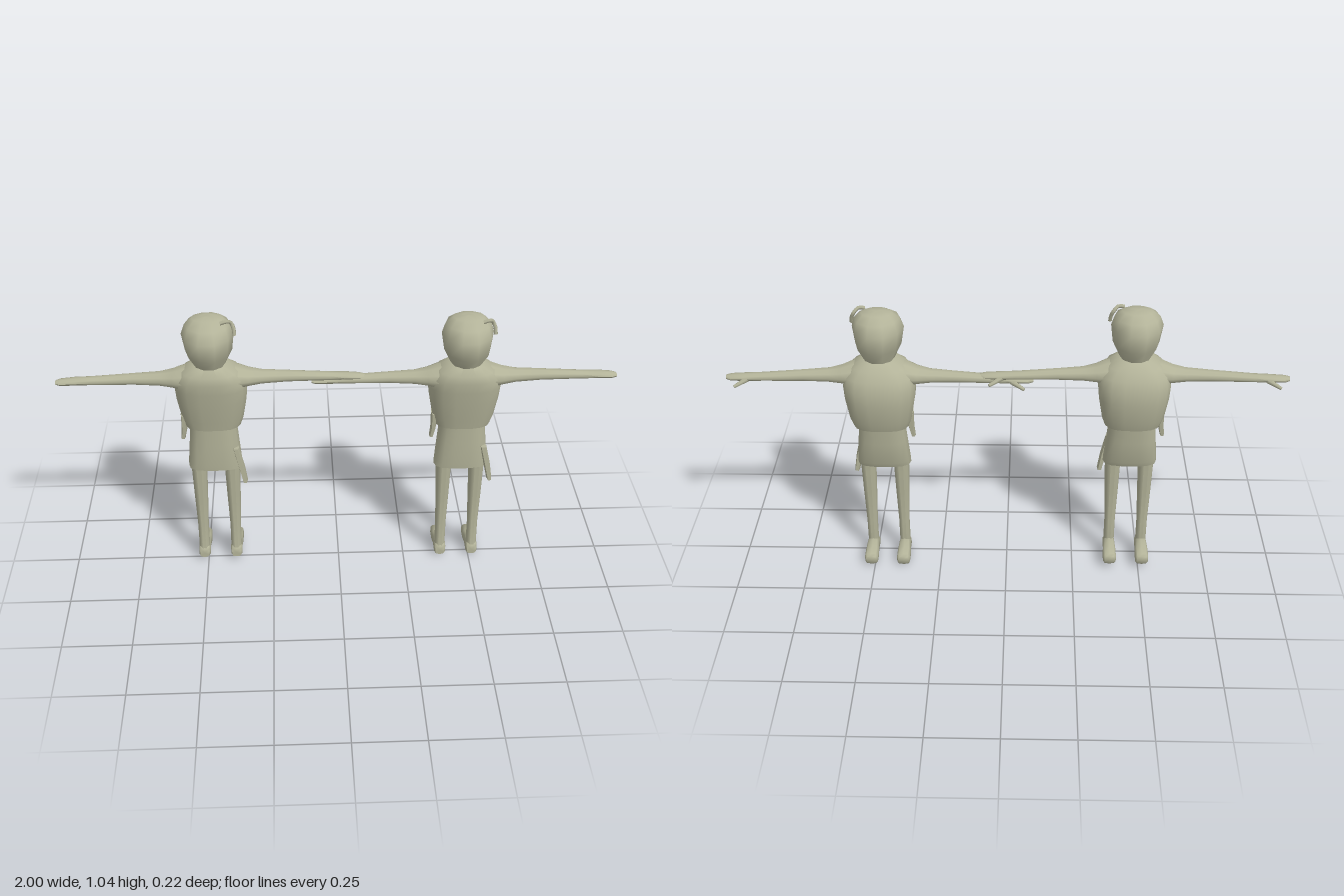
import * as THREE from 'three';
import { toCreasedNormals } from 'three/addons/utils/BufferGeometryUtils.js';

const clay = new THREE.MeshStandardMaterial({ color: 0xb3b399 });
clay.name = 'clay';

// Closed loft along an axis. Ring: [t, uMin, uMax, vMin, vMax].
// Axis x: u = y, v = z. Axis y: u = z, v = x. Axis z: u = x, v = y.
function loft(axis, rings, sides = 10, round = 1, crease = 1) {
  const k = 'xyz'.indexOf(axis);
  const pos = [];
  const index = [];
  const put = (t, u, v) => {
    const p = [0, 0, 0];
    p[k] = t;
    p[(k + 1) % 3] = u;
    p[(k + 2) % 3] = v;
    pos.push(...p);
  };
  const bend = (c) => Math.sign(c) * Math.abs(c) ** round;
  for (const [t, u0, u1, v0, v1] of rings) {
    for (let j = 0; j < sides; j++) {
      const a = ((j + 0.5) / sides) * Math.PI * 2;
      put(t, (u0 + u1) / 2 + ((u1 - u0) / 2) * bend(Math.cos(a)),
        (v0 + v1) / 2 + ((v1 - v0) / 2) * bend(Math.sin(a)));
    }
  }
  const last = rings.length - 1;
  for (const i of [0, last]) {
    const [t, u0, u1, v0, v1] = rings[i];
    put(t, (u0 + u1) / 2, (v0 + v1) / 2);
  }
  const start = rings.length * sides;
  for (let j = 0; j < sides; j++) {
    const n = (j + 1) % sides;
    for (let i = 0; i < last; i++) {
      const a = i * sides + j, b = i * sides + n;
      index.push(a, b, b + sides, a, b + sides, a + sides);
    }
    index.push(start, n, j, start + 1, last * sides + j, last * sides + n);
  }
  const g = new THREE.BufferGeometry();
  g.setAttribute('position', new THREE.Float32BufferAttribute(pos, 3));
  g.setIndex(index);
  return toCreasedNormals(g, crease);
}

function add(group, name, geometry) {
  const mesh = new THREE.Mesh(geometry, clay);
  mesh.name = name;
  group.add(mesh);
  return mesh;
}

// Tapered rod from a to b
function rod(group, name, a, b, r0, r1) {
  const from = new THREE.Vector3(...a), to = new THREE.Vector3(...b);
  const dir = to.clone().sub(from);
  const mesh = add(group, name, new THREE.CylinderGeometry(r1, r0, dir.length(), 6));
  mesh.position.copy(from).addScaledVector(dir, 0.5);
  mesh.quaternion.setFromUnitVectors(new THREE.Vector3(0, 1, 0), dir.normalize());
}

function createFigure(name) {
  const f = new THREE.Group();
  f.name = name;

  // Head with narrow jaw and faceted crown
  add(f, 'head', loft('y', [
    [0.82, -0.045, 0.06, -0.05, 0.05],
    [0.845, -0.05, 0.065, -0.056, 0.056],
    [0.9, -0.088, 0.112, -0.082, 0.082],
    [0.965, -0.09, 0.114, -0.093, 0.09],
    [1.0, -0.068, 0.085, -0.08, 0.08],
    [1.022, -0.035, 0.045, -0.055, 0.055],
    [1.028, -0.01, 0.015, -0.02, 0.02],
  ], 10, 1, 1.3));

  // Lock of hair curling over the side of the crown
  const lock = new THREE.CatmullRomCurve3([
    [0.045, 1.018, 0.045], [0.066, 1.022, 0.04], [0.082, 1.01, 0.025],
    [0.091, 0.99, 0.03], [0.093, 0.967, 0.038],
  ].map((p) => new THREE.Vector3(...p)));
  add(f, 'hairLock', new THREE.TubeGeometry(lock, 8, 0.007, 5));

  // Shirt body, full on the chest side and flat on the other
  add(f, 'torso', loft('y', [
    [0.585, -0.082, 0.047, -0.1, 0.1],
    [0.62, -0.094, 0.054, -0.112, 0.112],
    [0.7, -0.106, 0.07, -0.126, 0.126],
    [0.75, -0.104, 0.077, -0.13, 0.13],
    [0.79, -0.092, 0.083, -0.125, 0.125],
    [0.82, -0.072, 0.08, -0.1, 0.1],
    [0.845, -0.05, 0.064, -0.058, 0.058],
  ], 16, 0.75));

  // Skirt
  add(f, 'skirt', loft('y', [
    [0.41, -0.046, 0.042, -0.098, 0.098],
    [0.43, -0.055, 0.044, -0.098, 0.098],
    [0.52, -0.069, 0.046, -0.09, 0.09],
    [0.61, -0.077, 0.047, -0.082, 0.082],
  ], 14, 0.75));

  // Hanging cloth ends
  add(f, 'skirtTail', loft('y', [
    [0.358, 0.003, 0.05, 0.098, 0.117],
    [0.42, 0.002, 0.048, 0.084, 0.108],
    [0.5, 0.01, 0.042, 0.066, 0.09],
  ], 6, 0.7));
  add(f, 'shirtTail', loft('y', [
    [0.53, -0.025, 0.01, -0.12, -0.104],
    [0.57, -0.03, 0.015, -0.116, -0.095],
    [0.63, -0.035, 0.02, -0.116, -0.095],
  ], 6, 0.7));

  // Arms, from shoulder to fingertips
  const arm = [
    [0.05, 0.745, 0.836, -0.06, 0.06],
    [0.1, 0.745, 0.826, -0.06, 0.058],
    [0.135, 0.75, 0.812, -0.05, 0.042],
    [0.18, 0.754, 0.803, -0.04, 0.027],
    [0.27, 0.757, 0.797, -0.036, 0.017],
    [0.42, 0.757, 0.786, -0.034, 0.009],
    [0.48, 0.757, 0.783, -0.036, 0.009],
    [0.53, 0.757, 0.779, -0.032, 0.008],
    [0.5475, 0.761, 0.775, -0.024, 0.002],
  ];
  // Legs and feet
  const leg = [
    [0.01, -0.018, 0.03, -0.021, 0.021],
    [0.06, -0.025, 0.026, -0.02, 0.02],
    [0.14, -0.021, 0.019, -0.02, 0.02],
    [0.28, -0.028, 0.026, -0.025, 0.025],
    [0.38, -0.034, 0.032, -0.028, 0.028],
    [0.45, -0.036, 0.034, -0.03, 0.03],
  ];
  const foot = [
    [-0.108, -0.02, 0.02, 0.012, 0.042],
    [-0.1, -0.025, 0.025, 0.002, 0.05],
    [-0.06, -0.025, 0.025, 0, 0.054],
    [-0.025, -0.022, 0.022, 0, 0.066],
    [0.02, -0.022, 0.022, 0, 0.05],
    [0.03, -0.018, 0.018, 0.004, 0.04],
  ];
  for (const s of [1, -1]) {
    const side = s > 0 ? 'left' : 'right';
    const rings = s > 0 ? arm : arm.map(([t, ...r]) => [-t, ...r]).reverse();
    add(f, side + 'Arm', loft('x', rings, 10));
    rod(f, side + 'Thumb', [s * 0.47, 0.767, -0.025], [s * 0.515, 0.75, -0.052], 0.011, 0.006);
    add(f, side + 'Leg', loft('y', leg, 10)).position.x = s * 0.061;
    add(f, side + 'Foot', loft('z', foot, 10, 0.65)).position.x = s * 0.061;
  }
  return f;
}

export function createModel() {
  const model = new THREE.Group();
  model.name = 'twoFigures';
  const left = createFigure('leftFigure');
  left.position.set(0.4525, 0, 0);
  const right = createFigure('rightFigure');
  right.position.set(-0.4525, 0.015, 0);
  model.add(left, right);
  return model;
}
